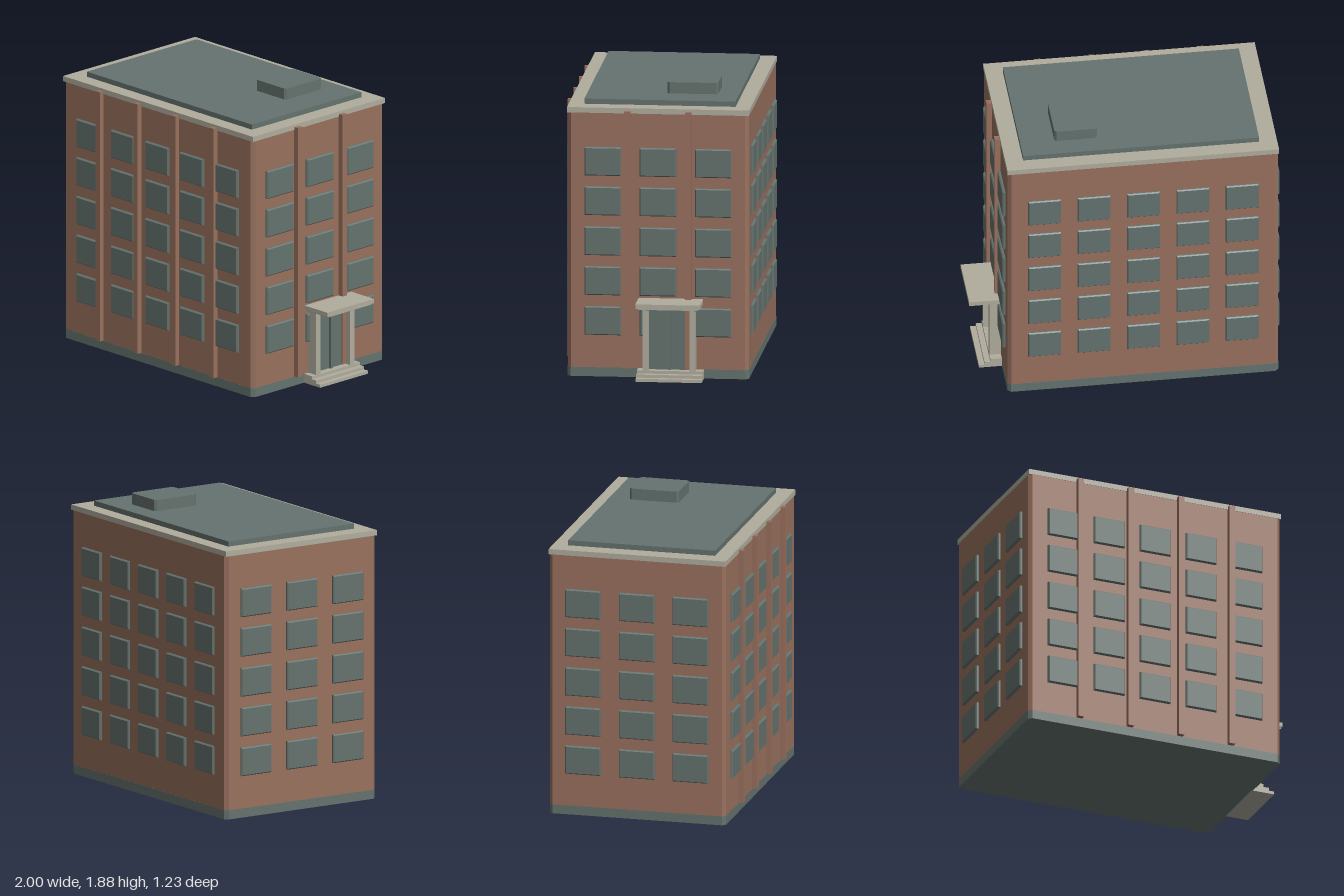
import * as THREE from 'three';

const material = (name, color) => {
  const m = new THREE.MeshStandardMaterial({ color });
  m.name = name;
  return m;
};

export function createModel() {
  const brick = material('brick', 0x99715e);
  const slate = material('slate', 0x65736f);
  const stone = material('stone', 0xb0ad9e);
  const building = new THREE.Group();
  building.name = 'officeBuilding';

  const add = (name, geometry, mat, parent = building) => {
    const mesh = new THREE.Mesh(geometry, mat);
    mesh.name = name;
    parent.add(mesh);
    return mesh;
  };
  // Box given by its minimum and maximum on each axis
  const block = (name, mat, x0, x1, y0, y1, z0, z1, parent) => {
    const mesh = add(name, new THREE.BoxGeometry(x1 - x0, y1 - y0, z1 - z0), mat, parent);
    mesh.position.set((x0 + x1) / 2, (y0 + y1) / 2, (z0 + z1) / 2);
    return mesh;
  };
  // Upright block with its four vertical corners cut off by c
  const cutBlock = (name, mat, x0, x1, y0, y1, z0, z1, c) => {
    const corners = [
      [x0 + c, z0], [x1 - c, z0], [x1, z0 + c], [x1, z1 - c],
      [x1 - c, z1], [x0 + c, z1], [x0, z1 - c], [x0, z0 + c],
    ];
    const shape = new THREE.Shape(corners.map(([x, z]) => new THREE.Vector2(x, -z)));
    const geometry = new THREE.ExtrudeGeometry(shape, { depth: y1 - y0, bevelEnabled: false });
    geometry.rotateX(-Math.PI / 2);
    geometry.translate(0, y0, 0);
    return add(name, geometry, mat);
  };

  // Main volume
  const X0 = -0.98, X1 = 0.786, Z0 = -0.597, Z1 = 0.581;
  cutBlock('plinth', slate, X0, X1, 0, 0.06, Z0, Z1, 0.022);
  cutBlock('brickWalls', brick, X0 + 0.001, X1 - 0.001, 0.06, 1.737, Z0 + 0.001, Z1 - 0.001, 0.022);
  block('cornice', stone, X0 - 0.002, X1 + 0.002, 1.737, 1.772, Z0 - 0.002, Z1 + 0.002);
  block('roofDeck', slate, -0.865, 0.673, 1.772, 1.806, -0.499, 0.482);
  cutBlock('roofHatch', slate, 0.17, 0.45, 1.806, 1.88, -0.363, -0.034, 0.014);

  // Pilasters on the front and on the entrance side
  for (const x of [-0.628, -0.275, 0.077, 0.433])
    block('frontPilaster', brick, x - 0.02, x + 0.02, 0.062, 1.755, Z1 - 0.01, 0.613);
  for (const z of [0.19, -0.207])
    block('sidePilaster', brick, X1 - 0.01, 0.821, 0.062, 1.755, z - 0.02, z + 0.02);

  // Raised window panel with a bevelled outer edge, facing +z
  const windowGeometry = (w, h) => {
    const shape = new THREE.Shape([
      new THREE.Vector2(-w / 2, -h / 2), new THREE.Vector2(w / 2, -h / 2),
      new THREE.Vector2(w / 2, h / 2), new THREE.Vector2(-w / 2, h / 2),
    ]);
    return new THREE.ExtrudeGeometry(shape, {
      depth: 0.01, bevelEnabled: true, bevelSegments: 1,
      bevelThickness: 0.008, bevelSize: 0.007, bevelOffset: -0.007,
    });
  };
  const wideWindow = windowGeometry(0.215, 0.188);
  const sideWindow = windowGeometry(0.238, 0.188);
  const rows = [0.37, 0.633, 0.895, 1.159, 1.42];
  for (const y of rows) {
    for (let i = 0; i < 5; i++) {
      const x = -0.742 + i * 0.322;
      add('frontWindow', wideWindow, slate).position.set(x, y, Z1 - 0.002);
      const back = add('backWindow', wideWindow, slate);
      back.position.set(x, y, Z0 + 0.002);
      back.rotation.y = Math.PI;
    }
    for (const z of [0.35, -0.008, -0.367]) {
      const right = add('entranceSideWindow', sideWindow, slate);
      right.position.set(X1 + 0.002, y, z);
      right.rotation.y = Math.PI / 2;
      const left = add('farSideWindow', sideWindow, slate);
      left.position.set(X0 - 0.002, y, z);
      left.rotation.y = -Math.PI / 2;
    }
  }

  // Entrance porch: steps, columns, double door and canopy
  const porch = new THREE.Group();
  porch.name = 'porch';
  building.add(porch);
  [0.935, 0.898, 0.86].forEach((x, i) =>
    block('step', stone, X1 - 0.01, x, i * 0.02, (i + 1) * 0.02, -0.307, 0.122, porch));
  for (const z of [0.066, -0.238])
    block('porchColumn', stone, X1 - 0.01, 0.86, 0.06, 0.487, z - 0.019, z + 0.019, porch);
  block('doorLeaf', slate, X1 - 0.01, 0.812, 0.06, 0.487, -0.077, 0.047, porch);
  block('doorLeaf', slate, X1 - 0.01, 0.812, 0.06, 0.487, -0.219, -0.097, porch);
  block('doorPost', slate, X1 - 0.01, 0.826, 0.06, 0.487, -0.096, -0.078, porch);
  block('canopy', stone, X1 - 0.01, 0.997, 0.494, 0.523, -0.301, 0.118, porch);
  block('canopyLowerEdge', stone, X1 - 0.01, 0.99, 0.486, 0.494, -0.285, 0.102, porch);
  block('canopySoffit', slate, X1 - 0.01, 0.988, 0.484, 0.488, -0.283, 0.1, porch);

  return building;
}
